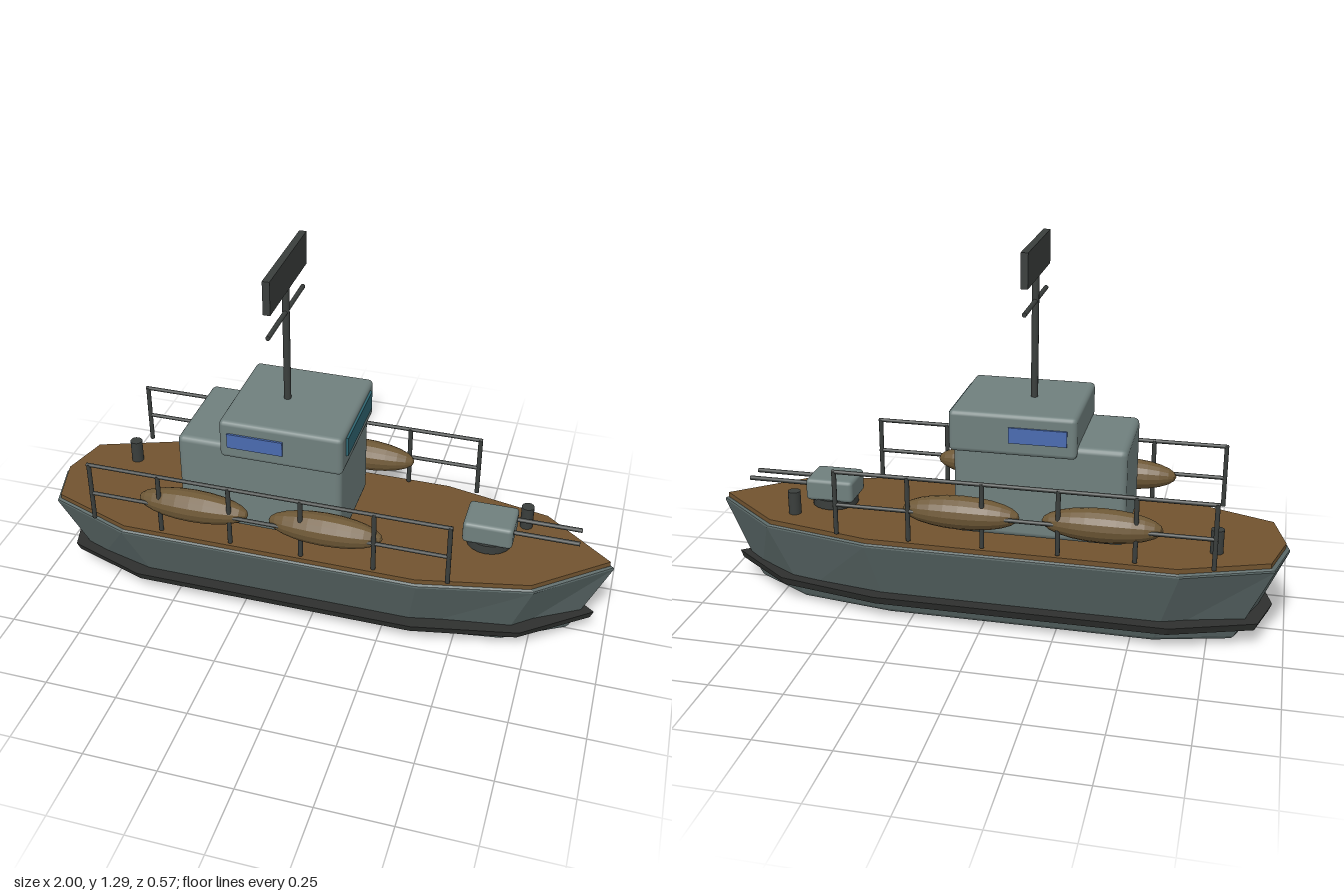
import * as THREE from 'three';
import { RoundedBoxGeometry } from 'three/addons/geometries/RoundedBoxGeometry.js';

const paint = (color, extra = {}) => new THREE.MeshStandardMaterial({ color, ...extra });

// Plan outline of the boat: bow, +z side, stern, then mirrored to the -z side.
const SIDE = [[1, 0], [0.76, 0.2], [0.385, 0.28], [-0.66, 0.28], [-0.955, 0.17], [-1, 0]];
const OUTLINE = [...SIDE, ...SIDE.slice(1, -1).reverse().map(([x, z]) => [x, -z])];

// Stack of scaled outlines, each level given as [y, half length, half width].
function loft(levels) {
  const rings = levels.map(([y, hx, hz]) => OUTLINE.map(([x, z]) => [x * hx, y, (z * hz) / 0.28]));
  const n = OUTLINE.length, pos = [];
  const tri = (...corners) => corners.forEach((c) => pos.push(...c));
  const first = rings[0], last = rings[rings.length - 1];
  for (let i = 0; i < n; i++) {
    const j = (i + 1) % n;
    for (let k = 0; k < rings.length - 1; k++) {
      const lo = rings[k], hi = rings[k + 1];
      tri(lo[i], hi[i], lo[j]);
      tri(lo[j], hi[i], hi[j]);
    }
    tri([0, first[0][1], 0], first[i], first[j]);
    tri([0, last[0][1], 0], last[j], last[i]);
  }
  const g = new THREE.BufferGeometry();
  g.setAttribute('position', new THREE.Float32BufferAttribute(pos, 3));
  g.computeVertexNormals();
  return g;
}

export function createModel() {
  const model = new THREE.Group();
  model.name = 'patrolBoat';
  const hullGrey = paint(0x5a6867), cabinGrey = paint(0x6f7f7d);
  const dark = paint(0x3a3e3c), black = paint(0x2e302e);
  const wood = paint(0x71532f), canvas = paint(0x6e5836, { flatShading: true });
  const blue = paint(0x4a6bb0), teal = paint(0x2f6672);

  const add = (name, geometry, material, x = 0, y = 0, z = 0, parent = model) => {
    const mesh = new THREE.Mesh(geometry, material);
    mesh.name = name;
    mesh.position.set(x, y, z);
    parent.add(mesh);
    return mesh;
  };
  // Box from its limits, with rounded edges when r is given
  const box = (name, [x0, x1], [y0, y1], [z0, z1], material, r = 0) => {
    const size = [x1 - x0, y1 - y0, z1 - z0];
    const g = r ? new RoundedBoxGeometry(...size, 2, r) : new THREE.BoxGeometry(...size);
    return add(name, g, material, (x0 + x1) / 2, (y0 + y1) / 2, (z0 + z1) / 2);
  };
  // Round bar between two points
  const bar = (name, a, b, r, material, parent = model, sides = 10) => {
    const from = new THREE.Vector3(...a), to = new THREE.Vector3(...b);
    const dir = to.clone().sub(from);
    const mesh = add(name, new THREE.CylinderGeometry(r, r, dir.length(), sides), material, 0, 0, 0, parent);
    mesh.position.copy(from).add(to).multiplyScalar(0.5);
    mesh.quaternion.setFromUnitVectors(new THREE.Vector3(0, 1, 0), dir.normalize());
    return mesh;
  };

  // Hull with softened bottom and top edges, rubbing belt and deck
  add('hull', loft([
    [0, 0.855, 0.157], [0.004, 0.868, 0.168], [0.016, 0.878, 0.177],
    [0.293, 1, 0.28], [0.299, 0.998, 0.279], [0.304, 0.988, 0.272],
  ]), hullGrey);
  add('belt', loft([[0.067, 0.945, 0.241], [0.094, 0.956, 0.25]]), black);
  add('deck', loft([[0.303, 0.986, 0.272], [0.321, 0.986, 0.272]]), wood);

  // Cabin, wheelhouse and windows
  box('cabin', [-0.47, 0.1], [0.333, 0.665], [-0.175, 0.175], cabinGrey, 0.02);
  box('wheelhouse', [-0.31, 0.11], [0.63, 0.77], [-0.2, 0.2], cabinGrey, 0.016);
  box('frontWindow', [0.1, 0.118], [0.682, 0.75], [-0.152, 0.152], teal);
  for (const s of [-1, 1]) {
    const inner = s * 0.19, outer = s * 0.207;
    box('sideWindow', [-0.28, -0.09], [0.676, 0.728],
      [Math.min(inner, outer), Math.max(inner, outer)], blue);
  }

  // Mast with crossbar and flat antenna panel
  bar('mast', [-0.135, 0.768, 0], [-0.135, 1.19, 0], 0.012, dark);
  bar('crossbar', [-0.135, 1.095, -0.185], [-0.135, 1.095, 0.185], 0.008, dark);
  box('antennaPanel', [-0.147, -0.123], [1.178, 1.292], [-0.19, 0.19], dark);

  // Railings and stowed floats on both sides
  const floatShape = new THREE.SphereGeometry(1, 16, 12).rotateZ(Math.PI / 2).scale(0.196, 0.056, 0.056);
  for (const s of [-1, 1]) {
    const railing = new THREE.Group();
    railing.name = s > 0 ? 'leftRailing' : 'rightRailing';
    model.add(railing);
    const z = s * 0.259;
    for (let i = 0; i < 6; i++) {
      const x = -0.765 + i * 0.25;
      bar('railPost', [x, 0.325, z], [x, 0.55, z], 0.008, dark, railing);
    }
    for (const y of [0.43, 0.547]) {
      bar('rail', [-0.772, y, z], [0.492, y, z], 0.007, dark, railing);
    }
    for (const x of [-0.403, 0.062]) add('float', floatShape, canvas, x, 0.43, s * 0.231);
  }

  // Bow turret with twin barrels
  add('turretBase', new THREE.CylinderGeometry(0.08, 0.08, 0.032, 20), dark, 0.577, 0.341, 0);
  box('turret', [0.492, 0.662], [0.35, 0.43], [-0.071, 0.071], cabinGrey, 0.014);
  for (const z of [-0.037, 0.037]) bar('barrel', [0.64, 0.402, z], [0.88, 0.402, z], 0.008, dark);

  // Bollards
  for (const x of [-0.765, 0.685]) bar('bollard', [x, 0.32, -0.118], [x, 0.403, -0.118], 0.022, dark, model, 14);

  return model;
}
